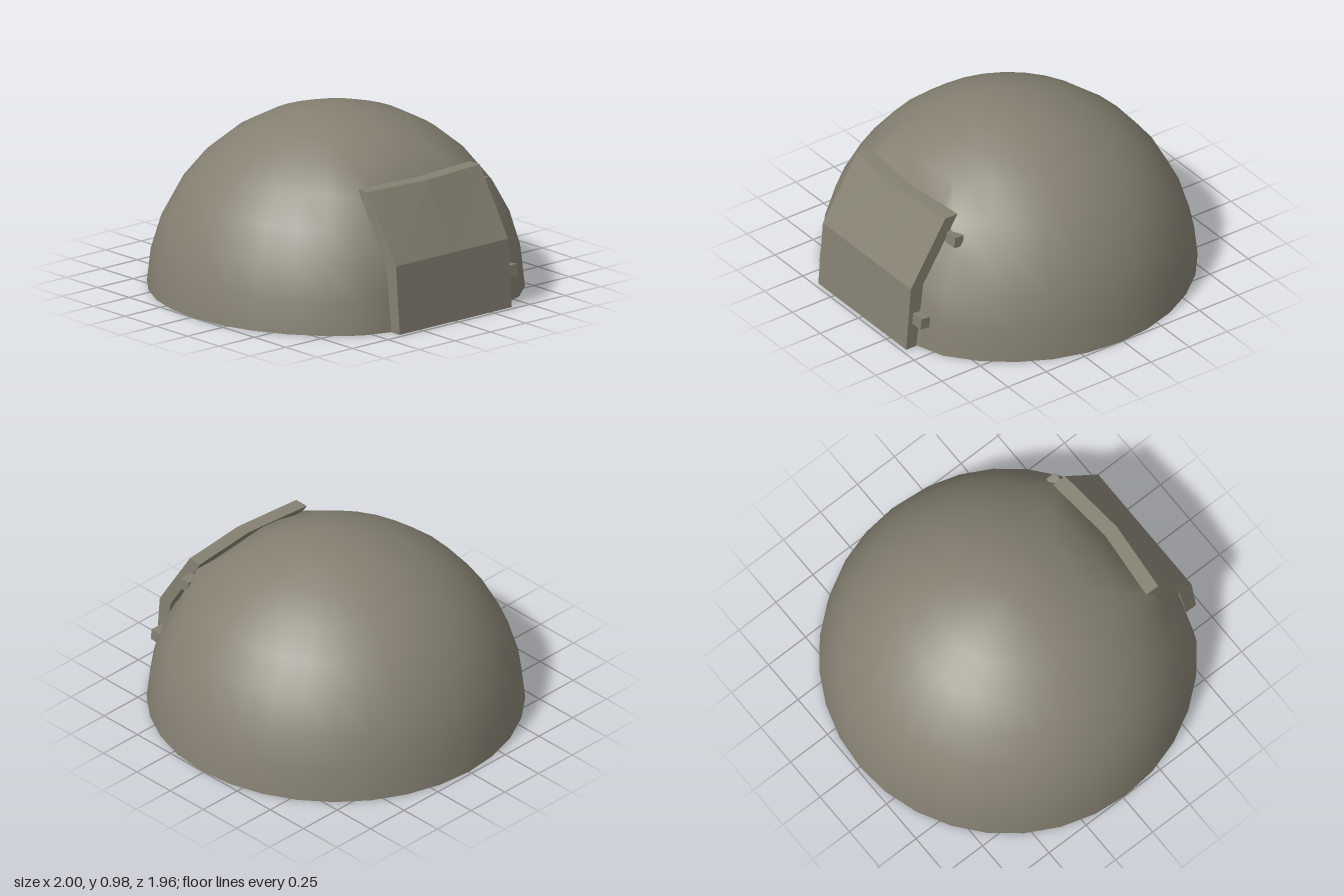
import * as THREE from 'three';
import { mergeVertices, toCreasedNormals } from 'three/addons/utils/BufferGeometryUtils.js';

const CENTRE_Z = 0.02;
// Rear profile of the door, as depth at a given height
const doorBack = (y) => (y < 0.37 ? 0.91 - (y / 0.37) * 0.045 : 0.865 - ((y - 0.37) / 0.36) * 0.225);

// Flat-faced geometry from points and faces (triangles or quads)
function faceted(points, faces) {
  const geo = new THREE.BufferGeometry();
  geo.setAttribute('position', new THREE.Float32BufferAttribute(points.flat(), 3));
  geo.setIndex(faces.flatMap(([a, b, c, d]) => (d === undefined ? [a, b, c] : [a, b, c, a, c, d])));
  const flat = geo.toNonIndexed();
  flat.computeVertexNormals();
  return flat;
}

// Half sphere, flattened at the front where the door sits against it
function domeGeometry() {
  let geo = new THREE.SphereGeometry(1, 32, 8, 0, Math.PI * 2, 0, Math.PI / 2);
  geo.deleteAttribute('uv');
  geo.deleteAttribute('normal');
  geo = mergeVertices(geo, 1e-4);
  const p = geo.attributes.position;
  for (let i = 0; i < p.count; i++) {
    const x = p.getX(i);
    const y = Math.max(0, p.getY(i) - 0.02);
    let z = p.getZ(i) + CENTRE_Z;
    if (z > 0.3 && Math.abs(x) < 0.42 && y < 0.75) z = doorBack(y);
    p.setXYZ(i, x, y, z);
  }
  geo.computeVertexNormals();
  return geo;
}

// Bent slab with a shallow point in the middle of its top edge
function doorGeometry() {
  const points = [];
  for (const x of [-0.395, 0, 0.395]) {
    const bulge = x === 0 ? 0.037 : 0;
    points.push(
      [x, 0, 0.975], [x, 0.37, 0.945], [x, 0.73, 0.72 + bulge],
      [x, 0.73, 0.64 + bulge], [x, 0.37, 0.865], [x, 0, 0.91]
    );
  }
  const faces = [];
  for (let s = 0; s < 2; s++) {
    for (let k = 0; k < 6; k++) {
      const a = s * 6 + k, b = s * 6 + ((k + 1) % 6);
      faces.push([a, a + 6, b + 6, b]);
    }
  }
  // End faces
  faces.push([0, 1, 4, 5], [1, 2, 3, 4], [12, 17, 16, 13], [13, 16, 15, 14]);
  return toCreasedNormals(faceted(points, faces), 0.15);
}

// Underside, open in a long wedge that runs back from the door
function floorGeometry() {
  const outline = new THREE.Shape();
  for (let i = 2; i <= 30; i++) {
    const a = (i / 32) * Math.PI * 2;
    const x = Math.sin(a);
    const z = i === 2 || i === 30 ? 0.91 : Math.cos(a) + CENTRE_Z;
    if (i === 2) outline.moveTo(x, -z);
    else outline.lineTo(x, -z);
  }
  outline.lineTo(-0.1, -(-0.9));
  outline.closePath();
  const geo = new THREE.ShapeGeometry(outline);
  geo.rotateX(-Math.PI / 2);
  // Turn the faces downward
  const idx = geo.index;
  for (let i = 0; i < idx.count; i += 3) {
    const b = idx.getX(i + 1);
    idx.setX(i + 1, idx.getX(i + 2));
    idx.setX(i + 2, b);
  }
  geo.computeVertexNormals();
  return geo;
}

// Sloping walls and ceiling of the hollow above that wedge
function hollowGeometry() {
  const points = [[-0.1, 0, -0.9]];
  for (const x of [-0.383, 0.383]) points.push([x, 0, 0.91], [x, 0.36, 0.84], [x, 0.66, 0.6]);
  return faceted(points, [
    [0, 1, 2], [0, 2, 3],
    [0, 5, 4], [0, 6, 5],
    [0, 3, 6]
  ]);
}

export function createModel() {
  const stone = new THREE.MeshStandardMaterial({ color: 0x858071, side: THREE.DoubleSide });
  stone.name = 'warm grey';
  const model = new THREE.Group();
  model.name = 'domedHut';

  const add = (name, geometry) => {
    const mesh = new THREE.Mesh(geometry, stone);
    mesh.name = name;
    model.add(mesh);
    return mesh;
  };

  add('dome', domeGeometry());
  add('floor', floorGeometry());
  add('hollow', hollowGeometry());
  add('door', doorGeometry());

  // Hinges on the door's left edge
  const hinges = [['lowerHinge', 0.18, 0.905, -0.1], ['upperHinge', 0.61, 0.685, -0.1]];
  for (const [name, y, z, tilt] of hinges) {
    const hinge = add(name, new THREE.BoxGeometry(0.09, 0.063, 0.057));
    hinge.position.set(0.425, y, z);
    hinge.rotation.x = tilt;
  }
  return model;
}
